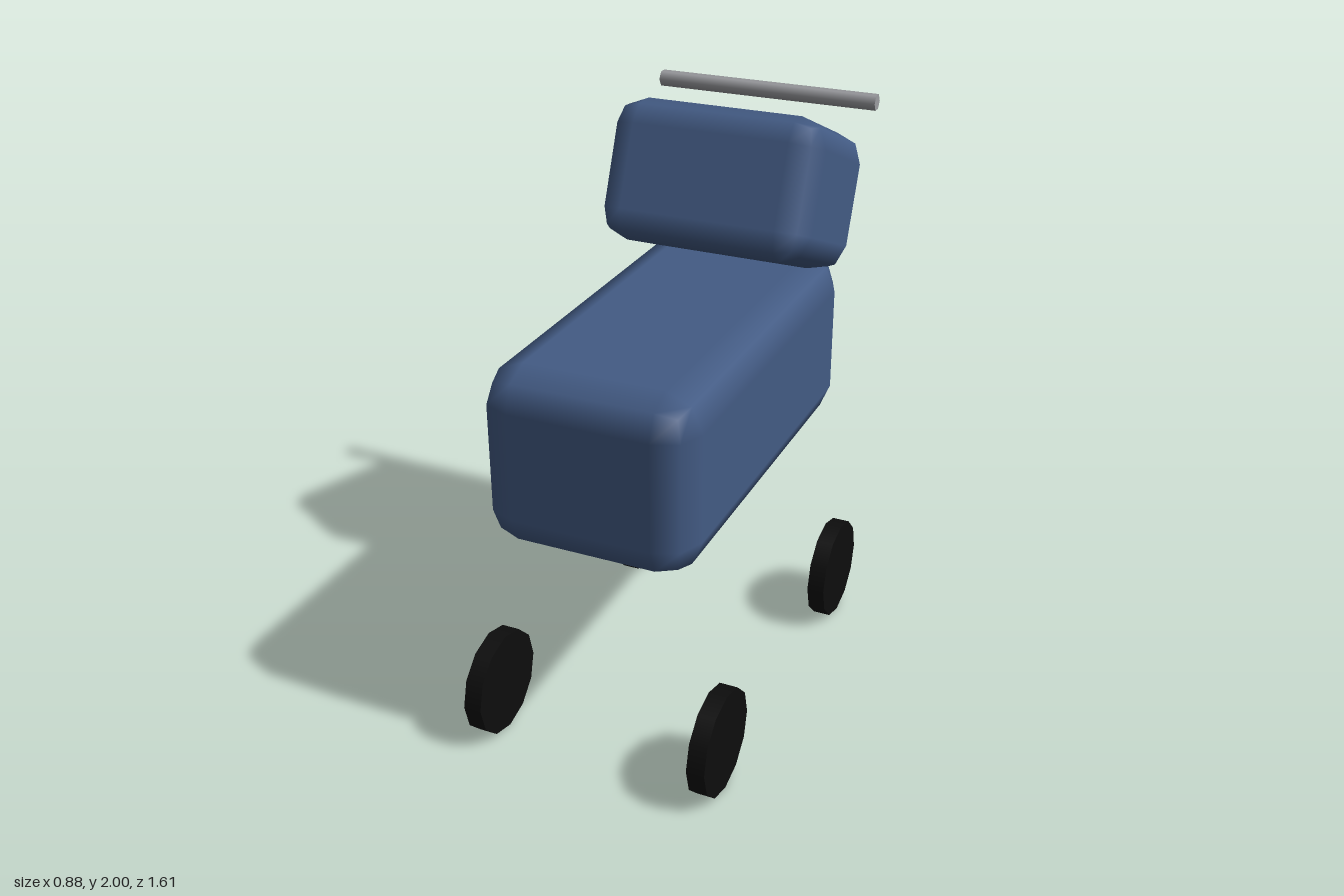
import * as THREE from 'three';
import { RoundedBoxGeometry } from 'three/addons/geometries/RoundedBoxGeometry.js';

const material = (name, color) => {
  const m = new THREE.MeshStandardMaterial({ color });
  m.name = name;
  return m;
};

export function createModel() {
  const fabric = material('blueFabric', 0x435b84);
  const rubber = material('blackRubber', 0x0d0d0d);
  const metal = material('greyMetal', 0x9b9ca0);

  const model = new THREE.Group();
  model.name = 'stroller';

  const add = (name, geometry, mat, x, y, z) => {
    const mesh = new THREE.Mesh(geometry, mat);
    mesh.name = name;
    mesh.position.set(x, y, z);
    model.add(mesh);
    return mesh;
  };

  // Long softened carrycot
  add('carrycot', new RoundedBoxGeometry(0.72, 0.615, 1.436, 1, 0.122), fabric, 0, 1.133, 0.048);

  // Hood tipped backwards over the rear end
  const hood = add('hood', new RoundedBoxGeometry(0.755, 0.488, 0.62, 1, 0.1), fabric, 0, 1.692, -0.464);
  hood.rotation.x = -0.4;

  // Six-sided push bar across the back
  const bar = new THREE.CylinderGeometry(0.03, 0.03, 0.82, 6).rotateZ(Math.PI / 2);
  add('handleBar', bar, metal, 0, 1.955, -0.771);

  // Four thin twelve-sided wheels
  const wheel = new THREE.CylinderGeometry(0.185, 0.185, 0.063, 12).rotateZ(Math.PI / 2);
  for (const [end, z] of [['front', 0.622], ['rear', -0.526]]) {
    for (const [side, s] of [['Left', 1], ['Right', -1]]) {
      add(`${end}${side}Wheel`, wheel, rubber, s * 0.408, 0.187, z);
    }
  }

  return model;
}
